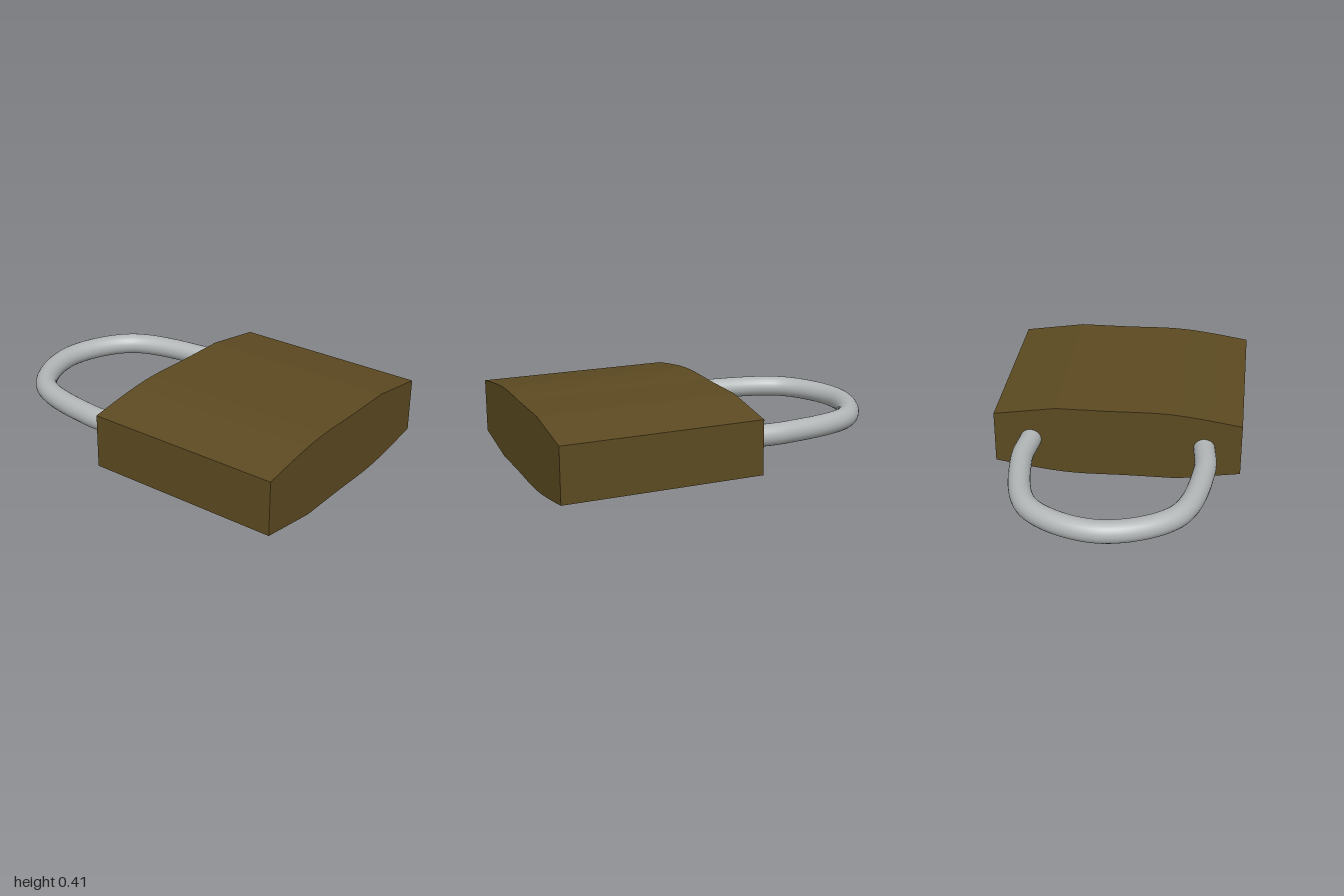
import * as THREE from 'three';
import { toCreasedNormals } from 'three/addons/utils/BufferGeometryUtils.js';

export function createModel() {
  const model = new THREE.Group();
  const brass = new THREE.MeshStandardMaterial({ color: 0x5c4a21 });
  brass.name = 'dark brass';
  const steel = new THREE.MeshStandardMaterial({ color: 0xb2b6b6 });
  steel.name = 'steel';

  const midY = 0.207;

  // Lock body: the lower outline is the upper one turned by 180 degrees
  const outline = new THREE.Shape();
  outline.moveTo(0.69, 0.15);
  for (const s of [1, -1]) {
    outline.lineTo(0.69 * s, 0.15 * s);
    outline.lineTo(0.34 * s, 0.203 * s);
    outline.lineTo(0.05 * s, 0.203 * s);
    outline.bezierCurveTo(-0.25 * s, 0.208 * s, -0.27 * s, 0.221 * s, -0.69 * s, 0.15 * s);
  }
  outline.closePath();
  const bodyGeometry = new THREE.ExtrudeGeometry(outline, { depth: 1.095, bevelEnabled: false, curveSegments: 20 });
  const body = new THREE.Mesh(toCreasedNormals(bodyGeometry, 0.1), brass);
  body.name = 'lockBody';
  body.position.set(0, midY, -0.095);
  model.add(body);

  // Shackle: mirrored path with its ends sunk into the body
  const half = [[0.475, 0], [0.486, -0.1], [0.497, -0.33], [0.375, -0.775]];
  const points = [
    ...half.map(([x, z]) => new THREE.Vector3(-x, 0, z)),
    new THREE.Vector3(0, 0, -0.94),
    ...half.map(([x, z]) => new THREE.Vector3(x, 0, z)).reverse(),
  ];
  const path = new THREE.CatmullRomCurve3(points);
  const shackle = new THREE.Mesh(new THREE.TubeGeometry(path, 80, 0.06, 24), steel);
  shackle.name = 'shackle';
  shackle.position.y = midY;
  model.add(shackle);

  return model;
}
